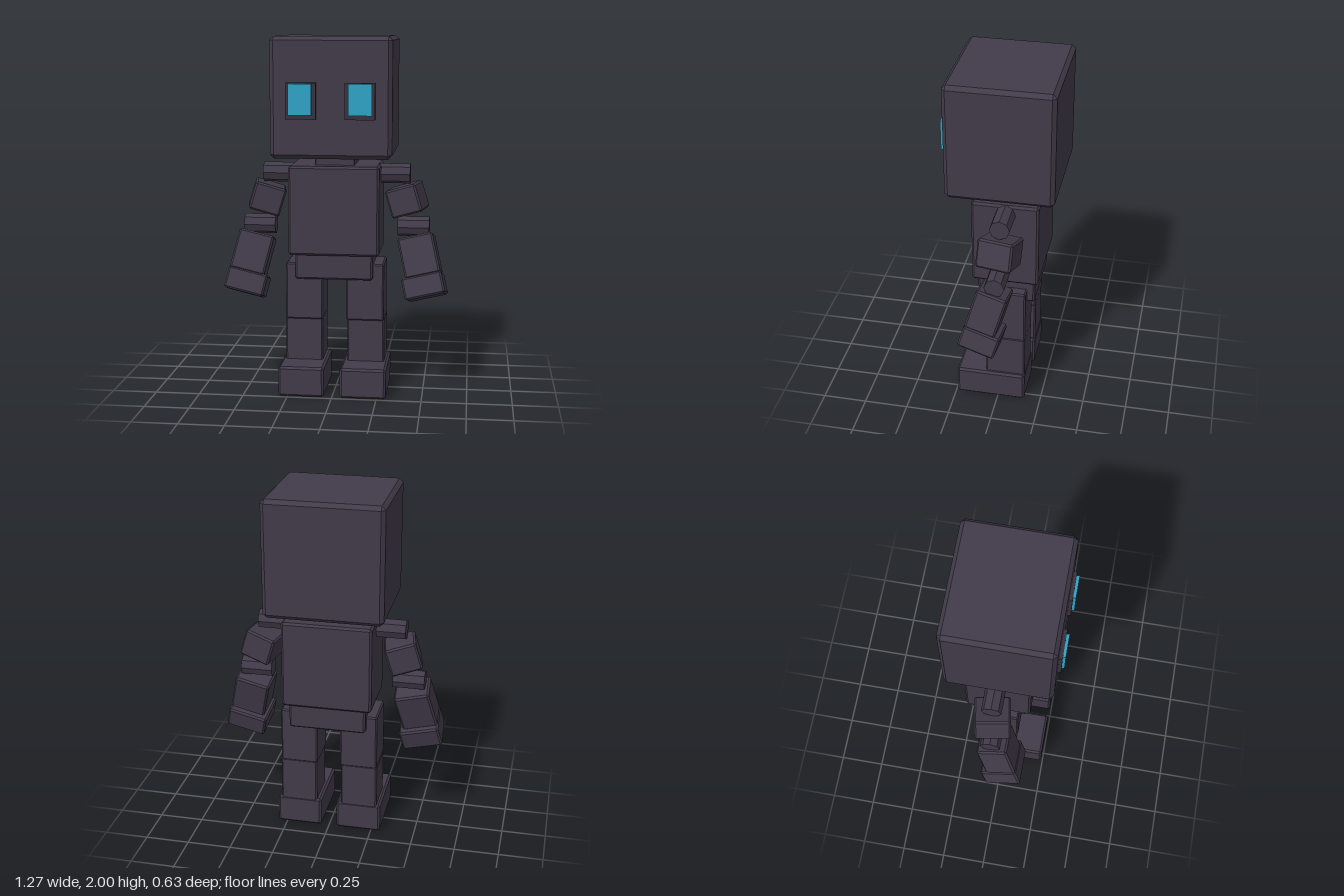
import * as THREE from 'three';
import { ConvexGeometry } from 'three/addons/geometries/ConvexGeometry.js';

const material = (name, color) => {
  const m = new THREE.MeshStandardMaterial({ color });
  m.name = name;
  return m;
};

// Box with every edge cut by a single flat chamfer
function chamferBox(w, h, d, c) {
  const points = [];
  for (const x of [-1, 1]) for (const y of [-1, 1]) for (const z of [-1, 1]) {
    for (let flush = 0; flush < 3; flush++) {
      const half = [w / 2, h / 2, d / 2].map((s, i) => (i === flush ? s : s - c));
      points.push(new THREE.Vector3(x * half[0], y * half[1], z * half[2]));
    }
  }
  return new ConvexGeometry(points);
}

export function createModel() {
  const model = new THREE.Group();
  model.name = 'blockRobot';
  const body = material('darkPlum', 0x423b4a);
  const frame = material('darkFrame', 0x38323e);
  const glow = material('eyeBlue', 0x30a5c8);
  const rad = THREE.MathUtils.degToRad;

  function add(parent, name, geometry, mat, pos, rot = [0, 0, 0]) {
    const mesh = new THREE.Mesh(geometry, mat);
    mesh.name = name;
    mesh.position.set(...pos);
    mesh.rotation.set(...rot.map(rad));
    parent.add(mesh);
    return mesh;
  }

  // Box given by its min and max corners
  function block(parent, name, x0, x1, y0, y1, z0, z1, c, mat = body) {
    const geometry = chamferBox(x1 - x0, y1 - y0, z1 - z0, c);
    return add(parent, name, geometry, mat, [(x0 + x1) / 2, (y0 + y1) / 2, (z0 + z1) / 2]);
  }

  // Head, neck and trunk
  block(model, 'head', -0.33, 0.33, 1.345, 2, -0.313, 0.28, 0.022);
  block(model, 'neck', -0.11, 0.11, 1.26, 1.37, -0.145, 0.075, 0.004);
  block(model, 'torso', -0.253, 0.253, 0.79, 1.29, -0.22, 0.152, 0.012);
  block(model, 'pelvis', -0.217, 0.217, 0.65, 0.82, -0.197, 0.125, 0.01);

  for (const s of [1, -1]) {
    const side = s > 0 ? 'left' : 'right';
    const group = (name) => {
      const g = new THREE.Group();
      g.name = side + name;
      model.add(g);
      return g;
    };
    const span = (a, b) => (s > 0 ? [a, b] : [-b, -a]);

    // Eye: raised frame with a glowing plate
    const eye = group('Eye');
    add(eye, 'eyeFrame', new THREE.BoxGeometry(0.163, 0.196, 0.028), frame, [s * 0.159, 1.657, 0.284]);
    add(eye, 'eyePlate', new THREE.BoxGeometry(0.126, 0.168, 0.02), glow, [s * 0.162, 1.666, 0.303]);

    // Leg
    const leg = group('Leg');
    block(leg, 'thigh', ...span(0.066, 0.277), 0.41, 0.735, -0.155, 0.086, 0.008);
    block(leg, 'shin', ...span(0.07, 0.28), 0.15, 0.42, -0.154, 0.071, 0.008);
    block(leg, 'foot', ...span(0.045, 0.302), 0, 0.17, -0.157, 0.24, 0.012);

    // Arm: loose boxes with round pins between them
    const arm = group('Arm');
    const pin = (name, x0, x1, y, z) => {
      const geometry = new THREE.CylinderGeometry(0.056, 0.056, x1 - x0, 8).toNonIndexed();
      geometry.computeVertexNormals();
      add(arm, name, geometry, body, [s * (x0 + x1) / 2, y, z], [0, 0, 90]);
    };
    pin('shoulderPin', 0.235, 0.415, 1.235, -0.038);
    pin('elbowPin', 0.347, 0.525, 0.937, -0.03);
    const limb = (name, size, [x, y, z], [rx, ry, rz]) =>
      add(arm, name, chamferBox(...size, 0.01), body, [s * x, y, z], [rx, s * ry, s * rz]);
    limb('upperArm', [0.178, 0.16, 0.2], [0.398, 1.09, -0.035], [0, -10, 17]);
    limb('forearm', [0.2, 0.23, 0.175], [0.476, 0.772, 0.008], [-15, -4, 13]);
    limb('hand', [0.227, 0.125, 0.21], [0.505, 0.606, 0.04], [-16, -4, 13]);
  }
  return model;
}
